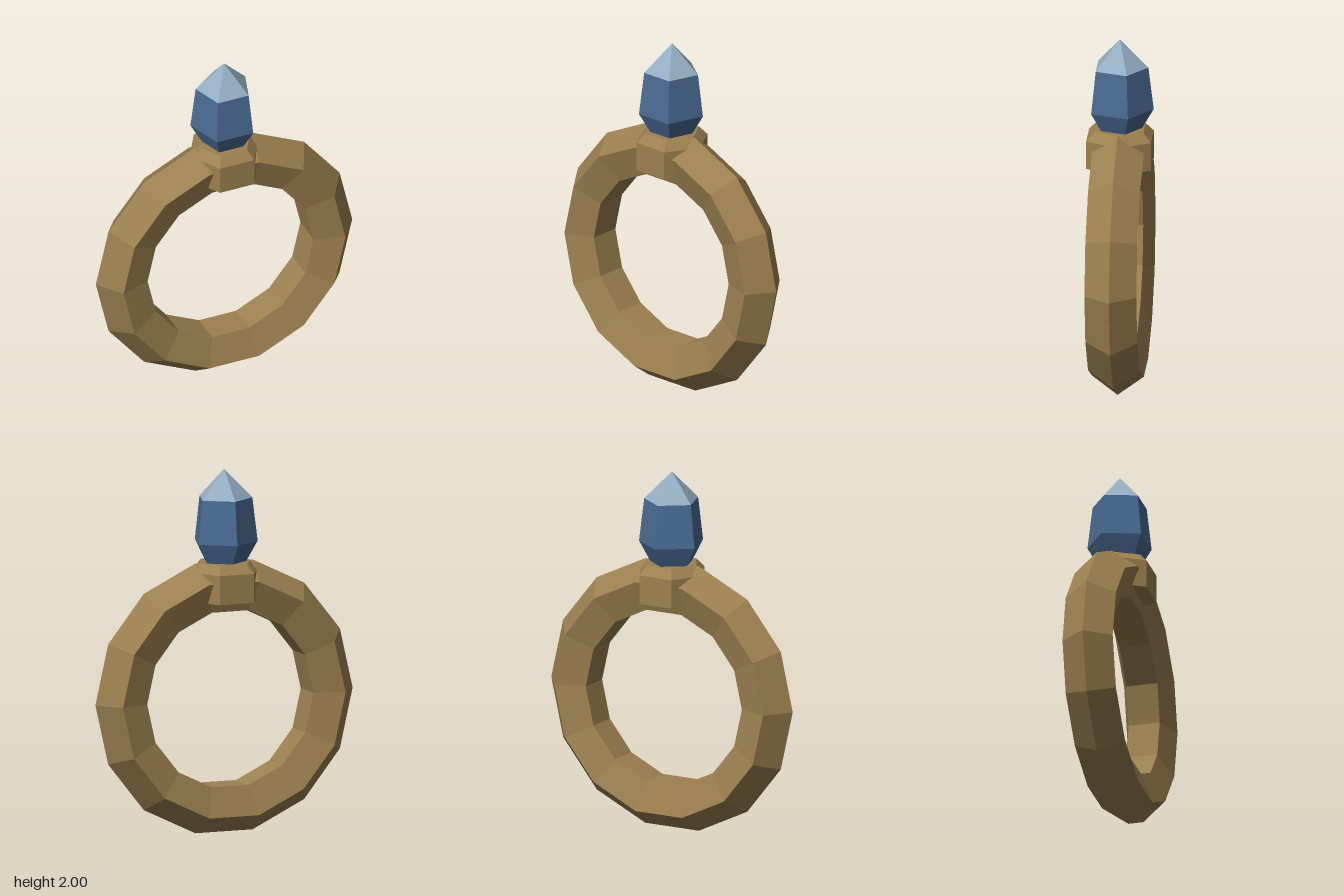
import * as THREE from 'three';

const flat = (color) => new THREE.MeshStandardMaterial({ color, flatShading: true });

// Faceted solid of revolution from [radius, y] pairs, bottom to top
function faceted(name, profile, sides, turn, material) {
  const points = profile.map(([r, y]) => new THREE.Vector2(r, y));
  const mesh = new THREE.Mesh(new THREE.LatheGeometry(points, sides), material);
  mesh.name = name;
  mesh.rotation.y = turn;
  return mesh;
}

export function createModel() {
  const model = new THREE.Group();
  model.name = 'gemRing';
  const gold = flat(0x9c8050);

  // Band: 14 segments with a pentagonal section, ridge outwards
  const band = new THREE.Mesh(new THREE.TorusGeometry(0.614, 0.149, 5, 14), gold);
  band.name = 'band';
  band.position.y = 0.745;
  model.add(band);

  // Hexagonal setting with a chamfered top, corners towards the sides
  model.add(faceted('setting',
    [[0, 1.28], [0.204, 1.28], [0.204, 1.44], [0.155, 1.49], [0, 1.49]],
    6, Math.PI / 2, gold));

  // Five-sided gem, one corner to the back
  model.add(faceted('gemBody',
    [[0, 1.47], [0.11, 1.47], [0.184, 1.6], [0.155, 1.84]],
    5, Math.PI, flat(0x4a6c94)));

  // Pale pointed tip of the gem
  model.add(faceted('gemTip', [[0.155, 1.84], [0, 2]], 5, Math.PI, flat(0x94aec4)));

  return model;
}
